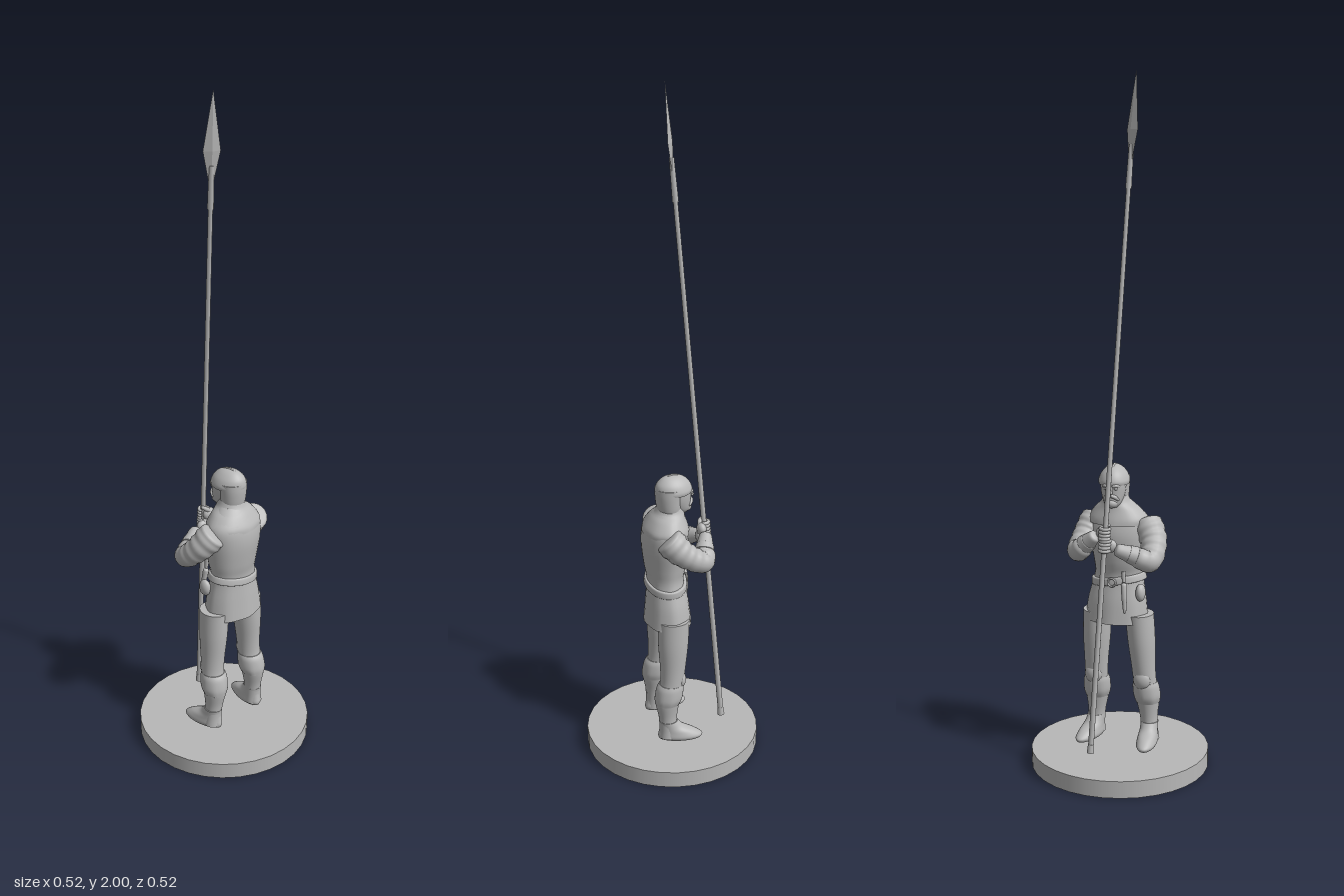
import * as THREE from 'three';
import { mergeVertices } from 'three/addons/utils/BufferGeometryUtils.js';

const grey = new THREE.MeshStandardMaterial({ color: 0xb8b8b8 });
grey.name = 'grey';
const V = (p) => new THREE.Vector3(...p);

function add(parent, name, geometry, pos = [0, 0, 0], scale = [1, 1, 1]) {
  const mesh = new THREE.Mesh(geometry, grey);
  mesh.name = name;
  mesh.position.set(...pos);
  mesh.scale.set(...scale);
  parent.add(mesh);
  return mesh;
}

function group(parent, name) {
  const g = new THREE.Group();
  g.name = name;
  parent.add(g);
  return g;
}

// Smooth body through stacked ovals [y, centreX, centreZ, radiusX, radiusZ], lowest first.
function loft(sections, folds = 0, steps = 5, sides = 32) {
  const rings = [];
  const n = sections.length - 1;
  const mix = (a, b, c, d, t) => 0.5 * (2 * b + (c - a) * t
    + (2 * a - 5 * b + 4 * c - d) * t * t + (3 * b - a - 3 * c + d) * t ** 3);
  for (let i = 0; i < n; i++) {
    const [a, b, c, d] = [Math.max(i - 1, 0), i, i + 1, Math.min(i + 2, n)].map((k) => sections[k]);
    for (let s = 0; s < steps; s++) rings.push(b.map((_, k) => mix(a[k], b[k], c[k], d[k], s / steps)));
  }
  rings.push(sections[n]);
  const first = rings[0], last = sections[n];
  const flat = (r) => [r[0], r[1], r[2], 0, 0];
  const all = [flat(first), first, ...rings, last, flat(last)];
  const pos = [], index = [];
  all.forEach(([y, cx, cz, rx, rz], i) => {
    const fade = 1 - i / all.length;
    for (let j = 0; j < sides; j++) {
      const a = (j / sides) * Math.PI * 2;
      const w = 1 + folds * fade * fade * Math.cos(8 * a);
      pos.push(cx + Math.cos(a) * rx * w, y, cz + Math.sin(a) * rz * w);
      if (i < all.length - 1) {
        const p = i * sides + j, q = i * sides + (j + 1) % sides;
        index.push(p, p + sides, q, q, p + sides, q + sides);
      }
    }
  });
  const g = new THREE.BufferGeometry();
  g.setAttribute('position', new THREE.Float32BufferAttribute(pos, 3));
  g.setIndex(index);
  g.computeVertexNormals();
  return g;
}

// Round-ended limb along a curve with a radius for each point.
function limb(points, radii, ripple = 0, steps = 36, sides = 18) {
  const curve = new THREE.CatmullRomCurve3(points.map(V));
  const g = new THREE.TubeGeometry(curve, steps, 1, sides);
  const p = g.attributes.position, n = g.attributes.normal;
  for (let i = 0; i < p.count; i++) {
    const t = Math.floor(i / (sides + 1)) / steps;
    const f = Math.min(t * (radii.length - 1), radii.length - 1.0001), k = Math.floor(f);
    let r = THREE.MathUtils.lerp(radii[k], radii[k + 1], f - k) * (1 + ripple * Math.sin(t * 45));
    r *= Math.sqrt(Math.max(0, 1 - (2 * t - 1) ** 16));
    p.setXYZ(i, p.getX(i) + n.getX(i) * (r - 1), p.getY(i) + n.getY(i) * (r - 1), p.getZ(i) + n.getZ(i) * (r - 1));
  }
  g.deleteAttribute('uv');
  g.deleteAttribute('normal');
  const m = mergeVertices(g, 1e-5);
  m.computeVertexNormals();
  return m;
}

const ball = () => new THREE.SphereGeometry(1, 20, 14);

export function createModel() {
  const model = new THREE.Group();
  model.name = 'spearman';

  // Round base
  add(model, 'base', new THREE.CylinderGeometry(0.262, 0.262, 0.05, 32).toNonIndexed(), [0, 0.025, 0]);

  // Legs: side +1 is the soldier's own left
  for (const side of [1, -1]) {
    const leg = group(model, side > 0 ? 'leftLeg' : 'rightLeg');
    const top = side > 0 ? 0.055 : -0.078, foot = side > 0 ? 0.08 : -0.09;
    const zAt = (y) => THREE.MathUtils.mapLinear(y, 0.46, 0.1, top, foot);
    const at = (list) => list.map(([y, cx, rx, rz]) => [y, cx, zAt(y), rx, rz]);
    add(leg, 'stocking', loft(at([
      [0.07, 0.036, 0.028, 0.027], [0.1, 0.036, 0.026, 0.025], [0.14, 0.037, 0.028, 0.026],
      [0.19, 0.038, 0.037, 0.034], [0.22, 0.032, 0.038, 0.036], [0.25, 0.024, 0.035, 0.034],
      [0.3, 0.02, 0.038, 0.035], [0.38, 0.018, 0.045, 0.04], [0.46, 0.016, 0.047, 0.041]])));
    add(leg, 'bootCuff', loft(at([
      [0.185, 0.038, 0.037, 0.035], [0.205, 0.034, 0.042, 0.04],
      [0.235, 0.029, 0.041, 0.039], [0.25, 0.025, 0.036, 0.035]]), 0.03));
    add(leg, 'kneeCap', ball(), [-0.001, 0.262, zAt(0.262)], [0.018, 0.03, 0.026]);
    const shoe = group(leg, 'shoe');
    shoe.position.set(0.036, 0, foot);
    shoe.rotation.y = side * 0.16;
    add(shoe, 'shoeBody', loft([
      [0.064, -0.036, 0, 0.064, 0.026], [0.074, -0.036, 0, 0.067, 0.03], [0.09, -0.026, 0, 0.054, 0.028],
      [0.106, -0.01, 0, 0.036, 0.026], [0.125, 0, 0, 0.028, 0.026]]));
  }

  // Tunic with flared skirt
  add(model, 'tunic', loft([
    [0.435, 0.02, -0.018, 0.07, 0.096], [0.5, 0.021, -0.016, 0.063, 0.088], [0.57, 0.025, -0.012, 0.054, 0.074],
    [0.62, 0.025, -0.01, 0.062, 0.08], [0.69, 0.026, -0.012, 0.069, 0.09], [0.74, 0.029, -0.012, 0.06, 0.088],
    [0.772, 0.025, -0.014, 0.046, 0.062], [0.795, 0.018, -0.016, 0.034, 0.04]], 0.02));

  // Slung belt, buckle, pouch and dagger
  const belt = add(model, 'belt', loft([
    [-0.011, 0, 0, 0.06, 0.081], [-0.008, 0, 0, 0.063, 0.084],
    [0.008, 0, 0, 0.061, 0.082], [0.011, 0, 0, 0.057, 0.078]]), [0.024, 0.56, -0.013]);
  belt.rotation.x = -0.16;
  add(model, 'buckle', new THREE.TorusGeometry(0.012, 0.003, 6, 16), [-0.04, 0.56, -0.01]).rotation.y = Math.PI / 2;
  add(model, 'pouch', ball(), [-0.01, 0.53, 0.068], [0.02, 0.026, 0.014]);
  add(model, 'daggerSheath', limb([[-0.045, 0.565, 0.03], [-0.05, 0.53, 0.033], [-0.053, 0.475, 0.036]], [0.009, 0.008, 0.004]));
  add(model, 'daggerGrip', limb([[-0.043, 0.6, 0.028], [-0.045, 0.565, 0.03]], [0.007, 0.005]));

  // Hood draped over the shoulders
  add(model, 'hoodCape', loft([
    [0.728, 0.024, -0.014, 0.069, 0.088], [0.745, 0.024, -0.014, 0.065, 0.088], [0.772, 0.02, -0.015, 0.052, 0.067],
    [0.79, 0.014, -0.017, 0.043, 0.045], [0.81, 0.012, -0.018, 0.036, 0.036]], 0.02));

  // Head, looking along -x
  const head = group(model, 'head');
  head.position.set(0, 0, -0.018);
  head.rotation.y = 0.18;
  add(head, 'face', loft([
    [0.782, -0.024, 0, 0.018, 0.016], [0.795, -0.018, 0, 0.032, 0.026], [0.82, -0.012, 0, 0.039, 0.034],
    [0.845, -0.01, 0, 0.043, 0.037], [0.868, -0.006, 0, 0.044, 0.037]]));
  add(head, 'coif', loft([
    [0.78, 0.014, 0, 0.032, 0.034], [0.805, 0.016, 0, 0.036, 0.039],
    [0.84, 0.017, 0, 0.039, 0.042], [0.865, 0.014, 0, 0.042, 0.043]]));
  add(head, 'skullCap', loft([
    [0.847, 0.001, 0, 0.054, 0.044], [0.858, 0.001, 0, 0.056, 0.045], [0.876, 0.003, 0, 0.05, 0.038],
    [0.89, 0.004, 0, 0.037, 0.026], [0.898, 0.005, 0, 0.022, 0.014], [0.901, 0.005, 0, 0.004, 0.003]]));
  add(head, 'capRidge', limb([[-0.055, 0.856, 0], [-0.036, 0.884, 0], [0.005, 0.901, 0], [0.042, 0.884, 0], [0.057, 0.856, 0]],
    [0.002, 0.003, 0.003, 0.003, 0.002]));
  add(head, 'nose', limb([[-0.05, 0.845, 0], [-0.057, 0.832, 0], [-0.056, 0.825, 0]], [0.004, 0.006, 0.007]));
  add(head, 'beard', ball(), [-0.038, 0.795, 0], [0.018, 0.015, 0.018]);
  for (const s of [1, -1]) {
    add(head, 'moustache', limb([[-0.054, 0.82, 0], [-0.05, 0.815, s * 0.012], [-0.04, 0.804, s * 0.023]], [0.005, 0.006, 0.003]));
    add(head, 'brow', limb([[-0.053, 0.846, s * 0.004], [-0.05, 0.848, s * 0.015], [-0.04, 0.845, s * 0.026]], [0.004, 0.005, 0.003]));
    add(head, 'eye', ball(), [-0.047, 0.839, s * 0.014], [0.005, 0.004, 0.006]);
  }

  // Spear, leaning from its foot to its tip
  const foot = V([-0.148, 0.078, -0.032]), tip = V([0.008, 2, 0.045]);
  const length = foot.distanceTo(tip), dir = tip.clone().sub(foot).normalize();
  const spear = group(model, 'spear');
  spear.position.copy(foot);
  spear.quaternion.setFromUnitVectors(V([0, 1, 0]), dir);
  const rod = (name, y0, y1, r0, r1) =>
    add(spear, name, new THREE.CylinderGeometry(r1, r0, y1 - y0, 10), [0, (y0 + y1) / 2, 0]);
  rod('shaft', 0, 1.65, 0.0085, 0.0065);
  rod('footFerrule', 0, 0.025, 0.011, 0.009);
  rod('socket', 1.61, 1.73, 0.009, 0.007);
  const blade = group(spear, 'blade');
  blade.rotation.y = 1.04;
  for (const [y0, y1, r0, r1] of [[1.68, 1.77, 0.006, 0.024], [1.77, length, 0.024, 0.0005]]) {
    add(blade, 'bladeHalf', new THREE.CylinderGeometry(r1, r0, y1 - y0, 4).toNonIndexed(),
      [0, (y0 + y1) / 2, 0], [1, 1, 0.28]).geometry.computeVertexNormals();
  }

  // Arms, each hand closed round the shaft
  const arms = [
    { name: 'leftArm', s: 1, grip: 0.685, shoulder: [0.036, 0.735, 0.068], mid: [0, 0.68, 0.104], elbow: [-0.048, 0.64, 0.108] },
    { name: 'rightArm', s: -1, grip: 0.72, shoulder: [0.04, 0.735, -0.088], mid: [-0.008, 0.685, -0.104], elbow: [-0.068, 0.655, -0.1] },
  ];
  for (const { name, s, grip, shoulder, mid, elbow } of arms) {
    const arm = group(model, name);
    const hold = foot.clone().addScaledVector(dir, (grip - foot.y) / dir.y);
    const wrist = hold.clone().add(V([0.004, -0.008, s * 0.03]));
    const between = (t) => V(elbow).lerp(wrist, t).toArray();
    add(arm, 'sleeve', limb([shoulder, mid, elbow, between(0.5)], [0.046, 0.041, 0.036, 0.033, 0.026], 0.03, 48));
    add(arm, 'forearm', limb([between(0.1), between(0.5), wrist.toArray()], [0.028, 0.025, 0.017]));
    add(arm, 'cuff', limb([between(0.35), between(0.62)], [0.029, 0.025]));
    add(arm, 'palm', ball(), hold.clone().add(V([0.012, -0.002, s * 0.012])).toArray(), [0.014, 0.02, 0.021]);
    for (let i = 0; i < 4; i++) {
      const c = hold.clone().addScaledVector(dir, (i - 1.5) * 0.0095);
      const path = [[0.014, 0, s * 0.012], [-0.004, 0, s * 0.014], [-0.014, 0, 0], [-0.004, 0, -s * 0.013], [0.007, 0, -s * 0.011]];
      add(arm, 'finger', limb(path.map((p) => V(p).add(c).toArray()), [0.006, 0.0055, 0.0055, 0.005, 0.004], 0, 16, 8));
    }
    add(arm, 'thumb', limb([[0.014, 0.005, s * 0.014], [0.014, 0.018, 0], [0.002, 0.025, -s * 0.011]]
      .map((p) => V(p).add(hold).toArray()), [0.008, 0.007, 0.005], 0, 12, 8));
  }
  return model;
}
